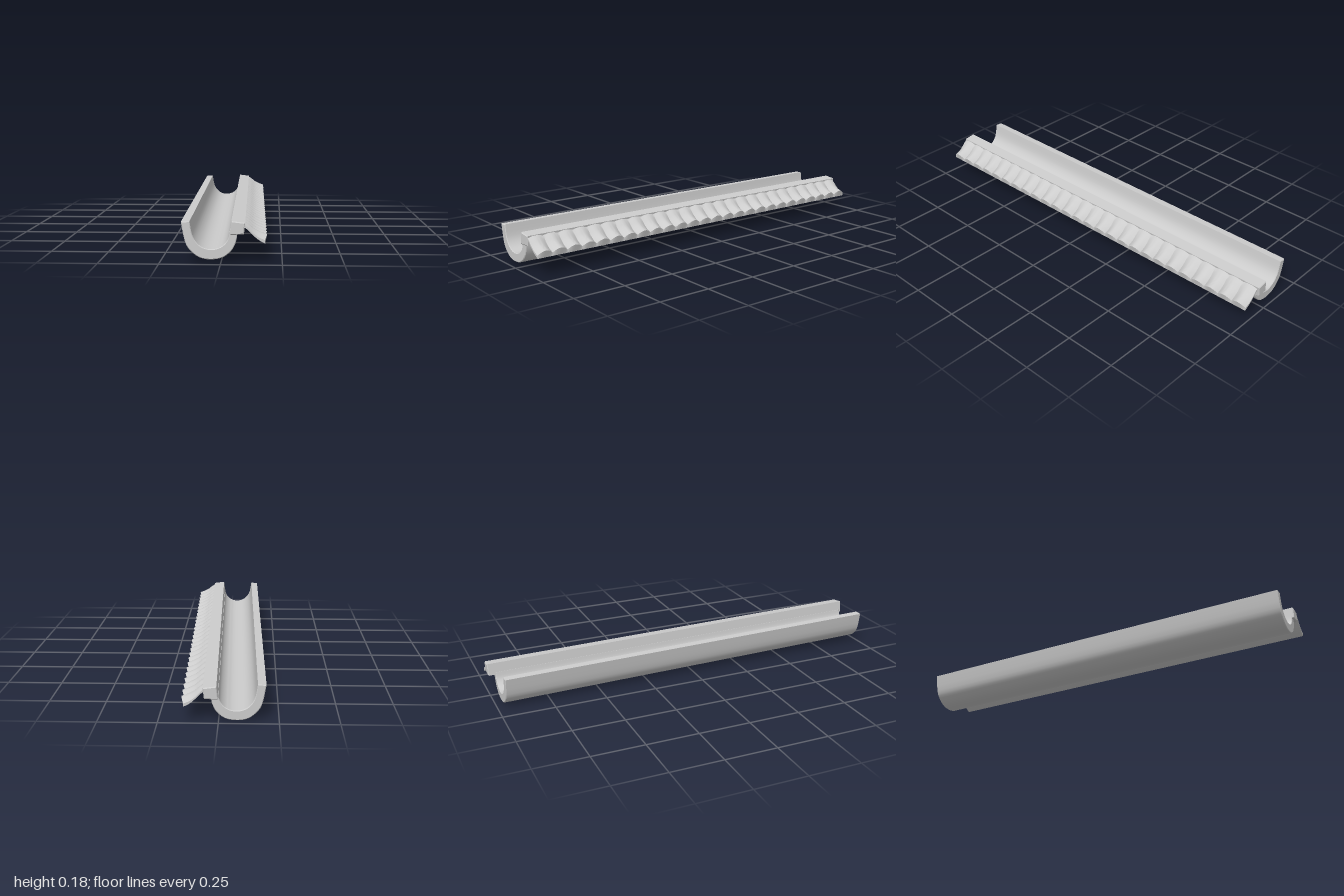
import * as THREE from 'three';
import { toCreasedNormals } from 'three/addons/utils/BufferGeometryUtils.js';

const material = new THREE.MeshStandardMaterial({ color: 0xcccccc });

function addMesh(group, name, geometry, crease = 0.6) {
  const mesh = new THREE.Mesh(toCreasedNormals(geometry, crease), material);
  mesh.name = name;
  group.add(mesh);
}

const curve = (pts, n) =>
  new THREE.SplineCurve(pts.map(p => new THREE.Vector2(...p))).getPoints(n);

// Extrude an x/y outline from z0 to z1 with a small edge bevel
function extrude(points, z0, z1, bevel) {
  const geometry = new THREE.ExtrudeGeometry(new THREE.Shape(points), {
    depth: z1 - z0 - 2 * bevel, bevelEnabled: true, bevelSegments: 1,
    bevelSize: bevel, bevelThickness: bevel, bevelOffset: -bevel,
  });
  return geometry.translate(0, 0, z0 + bevel);
}

// Row of rounded tiles: the upper profile swells from valley to crest once per tile
function tileGeometry(count, z0, z1) {
  const n = 10, steps = 10;
  const crest = curve([[0.092, 0.17], [0.115, 0.158], [0.137, 0.141], [0.162, 0.128], [0.189, 0.118]], n);
  const valley = curve([[0.092, 0.165], [0.112, 0.148], [0.132, 0.127], [0.155, 0.11], [0.179, 0.1]], n);
  const under = curve([[0.181, 0.085], [0.152, 0.101], [0.124, 0.126], [0.105, 0.145], [0.092, 0.15]], n);
  const ring = 2 * (n + 1), rows = count * steps;
  const positions = [], index = [];
  for (let j = 0; j <= rows; j++) {
    const swell = Math.sin(Math.PI * (j % steps) / steps);
    const z = z0 + (z1 - z0) * j / rows;
    const top = valley.map((v, k) => v.clone().lerp(crest[k], swell));
    for (const p of [...top, ...under]) positions.push(p.x, p.y, z);
  }
  for (let j = 0; j < rows; j++) {
    for (let i = 0; i < ring; i++) {
      const a = j * ring + i, b = j * ring + (i + 1) % ring;
      index.push(a, a + ring, b + ring, a, b + ring, b);
    }
  }
  // End caps
  for (let k = 0; k < n; k++) {
    const [a, b, c, d] = [k, k + 1, ring - 2 - k, ring - 1 - k];
    index.push(a, b, c, a, c, d);
    const f = rows * ring;
    index.push(f + a, f + d, f + c, f + a, f + c, f + b);
  }
  const geometry = new THREE.BufferGeometry();
  geometry.setAttribute('position', new THREE.Float32BufferAttribute(positions, 3));
  geometry.setIndex(index);
  return geometry;
}

export function createModel() {
  const model = new THREE.Group();
  model.name = 'gutterWithTiles';

  // Everything shares a slight yaw and pitch
  const body = new THREE.Group();
  body.name = 'gutterBody';
  body.position.set(-0.0185, -0.0085, 0);
  body.rotation.set(-0.0087, 0.0185, 0);
  model.add(body);

  // U-shaped channel
  const outer = curve([[-0.16, 0.171], [-0.144, 0.09], [-0.122, 0.053], [-0.085, 0.025],
    [-0.04, 0.017], [0.01, 0.026], [0.047, 0.057], [0.064, 0.095], [0.069, 0.13]], 24);
  const inner = curve([[0.037, 0.13], [0.03, 0.1], [0.01, 0.075], [-0.02, 0.061],
    [-0.055, 0.061], [-0.088, 0.077], [-0.113, 0.113], [-0.125, 0.173]], 24);
  addMesh(body, 'channel', extrude([...outer, ...inner], -0.965, 0.98, 0.003));

  // Beam along the inner rim
  const beam = [[0.037, 0.119], [0.095, 0.122], [0.1, 0.169], [0.044, 0.176]];
  addMesh(body, 'beam', extrude(beam.map(p => new THREE.Vector2(...p)), -1, 0.99, 0.004));

  // Sloping tile row on the far side of the beam
  addMesh(body, 'tileRow', tileGeometry(26, -0.99, 0.988), 0.7);

  return model;
}
